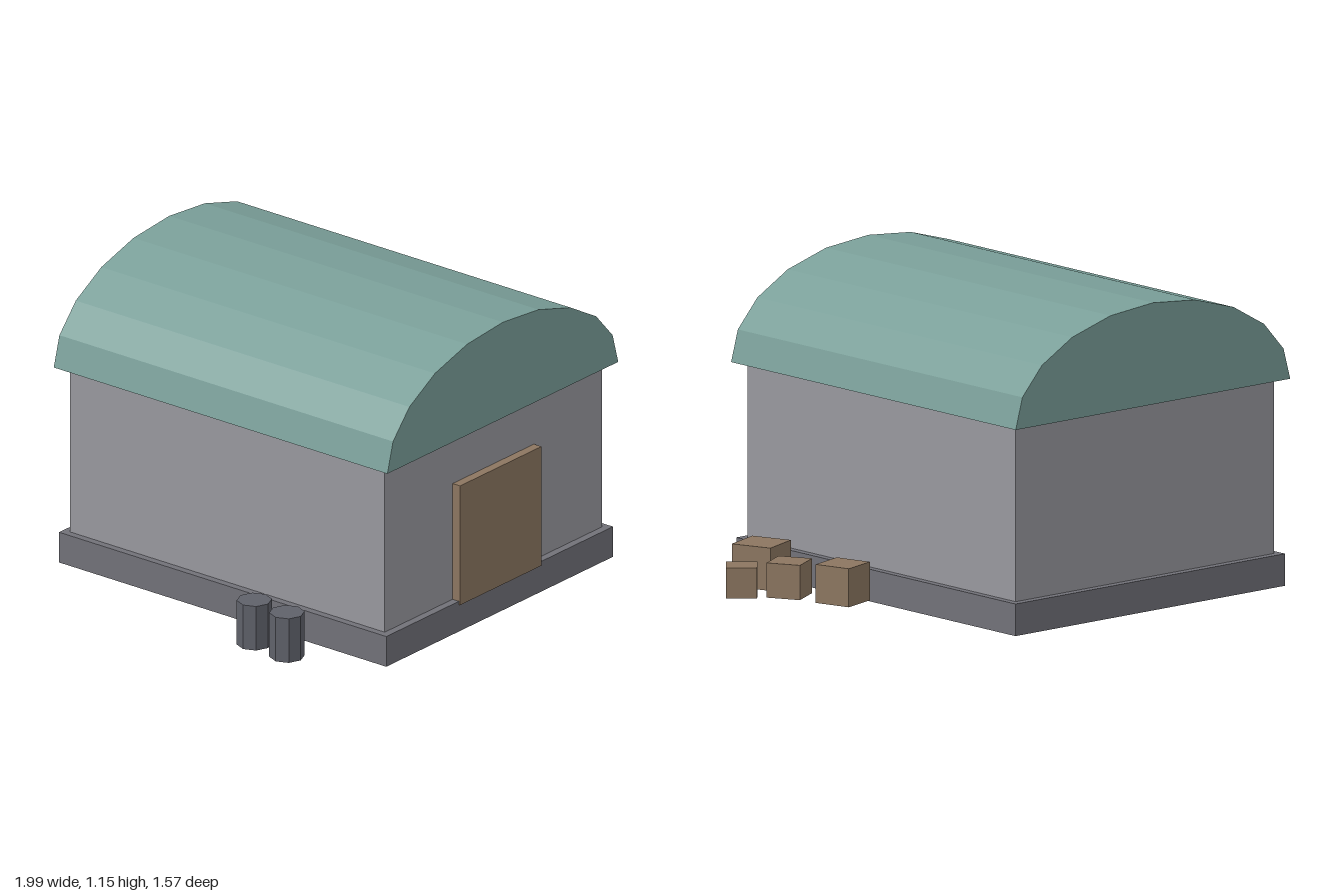
import * as THREE from 'three';

const paint = (color) => new THREE.MeshStandardMaterial({ color, flatShading: true });

export function createModel() {
  const model = new THREE.Group();
  const wallMat = paint(0x98989e), baseMat = paint(0x717178), roofMat = paint(0x7a9f99);
  const woodMat = paint(0x8c7660), drumMat = paint(0x5f616a), ribMat = paint(0x55565c);

  const add = (parent, name, geometry, material, x, y, z, turn = 0) => {
    const mesh = new THREE.Mesh(geometry, material);
    mesh.name = name;
    mesh.position.set(x, y, z);
    mesh.rotation.y = turn;
    parent.add(mesh);
    return mesh;
  };
  const box = (w, h, d) => new THREE.BoxGeometry(w, h, d);

  // Building, centred on its own axis
  const shed = new THREE.Group();
  shed.name = 'shed';
  shed.position.x = -0.09;
  model.add(shed);
  add(shed, 'foundation', box(1.316, 0.12, 1.54), baseMat, 0, 0.06, 0);
  add(shed, 'walls', box(1.26, 0.68, 1.48), wallMat, 0, 0.45, 0);
  add(shed, 'door', box(0.472, 0.474, 0.055), woodMat, 0, 0.343, 0.7475);

  // Faceted half-ellipse roof
  const arch = new THREE.Shape();
  for (let i = 0; i <= 10; i++) {
    const a = (i / 10) * Math.PI;
    const x = 0.67 * Math.cos(a), y = 0.38 * Math.sin(a);
    if (i) arch.lineTo(x, y);
    else arch.moveTo(x, y);
  }
  arch.closePath();
  const roof = new THREE.ExtrudeGeometry(arch, { depth: 1.57, bevelEnabled: false });
  add(shed, 'roof', roof, roofMat, 0, 0.775, -0.785);

  // Rib ends just showing below the eaves
  for (const side of [-1, 1]) {
    for (const z of [-0.44, 0, 0.44]) {
      add(shed, 'roofRib', box(0.03, 0.03, 0.045), ribMat, side * 0.64, 0.786, z);
    }
  }

  // Drums beside the right wall
  for (const [x, z] of [[-0.922, 0.29], [-0.936, 0.455]]) {
    add(model, 'drum', new THREE.CylinderGeometry(0.065, 0.065, 0.175, 8), drumMat, x, 0.108, z);
  }

  // Loose crates beside the left wall: x, z, size, turn
  for (const [x, z, s, turn] of [
    [0.706, 0.027, 0.144, 0.28],
    [0.781, 0.237, 0.13, 0.5],
    [0.912, 0.352, 0.115, -0.73],
    [0.735, 0.443, 0.16, 0.36],
  ]) {
    add(model, 'crate', box(s, s, s), woodMat, x, 0.02 + s / 2, z, turn);
  }

  return model;
}
